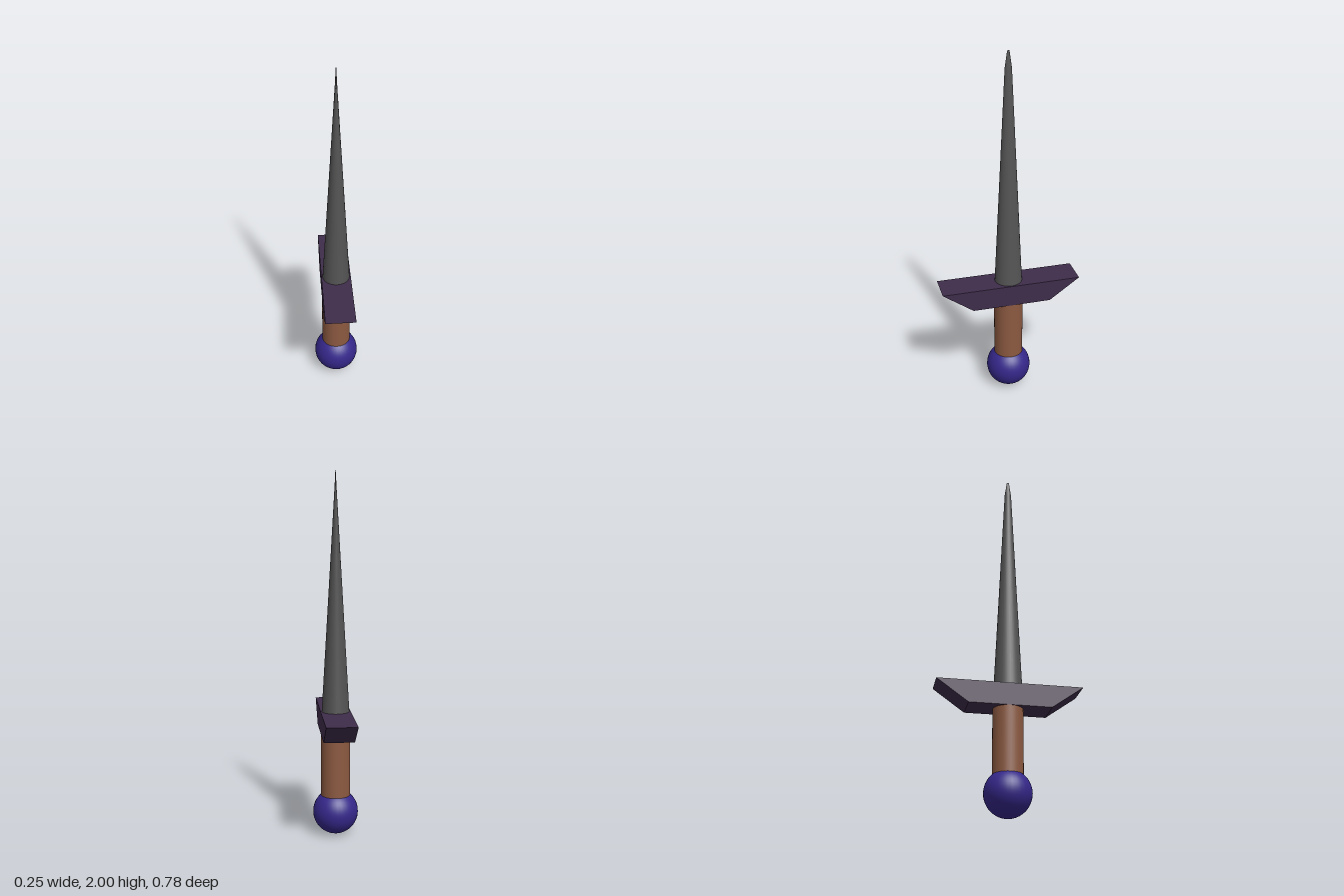
import * as THREE from 'three';

const mat = (name, color) => {
  const m = new THREE.MeshStandardMaterial({ color });
  m.name = name;
  return m;
};

export function createModel() {
  const steel = mat('darkSteel', 0x545454);
  const purple = mat('guardPurple', 0x3f2d4b);
  const leather = mat('gripBrown', 0x8c5a41);
  const blue = mat('pommelBlue', 0x35278a);

  const group = new THREE.Group();
  const add = (name, geometry, material, y) => {
    const mesh = new THREE.Mesh(geometry, material);
    mesh.name = name;
    mesh.position.y = y;
    group.add(mesh);
  };

  // Pommel and grip
  add('pommel', new THREE.SphereGeometry(0.125, 32, 24), blue, 0.127);
  add('grip', new THREE.CylinderGeometry(0.081, 0.081, 0.38, 32), leather, 0.39);

  // Crossguard: trapezoid running along z, wider at the top
  const profile = new THREE.Shape([
    [-0.22, 0], [0.22, 0], [0.39, 0.122], [-0.39, 0.122],
  ].map(([z, y]) => new THREE.Vector2(z, y)));
  const guard = new THREE.ExtrudeGeometry(profile, { depth: 0.166, bevelEnabled: false });
  guard.translate(0, 0, -0.083).rotateY(Math.PI / 2);
  add('crossguard', guard, purple, 0.573);

  // Blade: round at the base, narrowing to a thin edge along z at the tip
  // Each ring holds height, half width in x, half width in z
  const rings = [[2, 0.0005, 0.006], [1.91, 0.005, 0.019], [0.68, 0.077, 0.077]];
  const blade = new THREE.CylinderGeometry(1, 1, 2, 32, 2);
  const p = blade.attributes.position;
  for (let i = 0; i < p.count; i++) {
    const [y, rx, rz] = rings[1 - Math.round(p.getY(i))];
    p.setXYZ(i, p.getX(i) * rx, y, p.getZ(i) * rz);
  }
  blade.computeVertexNormals();
  add('blade', blade, steel, 0);

  return group;
}
